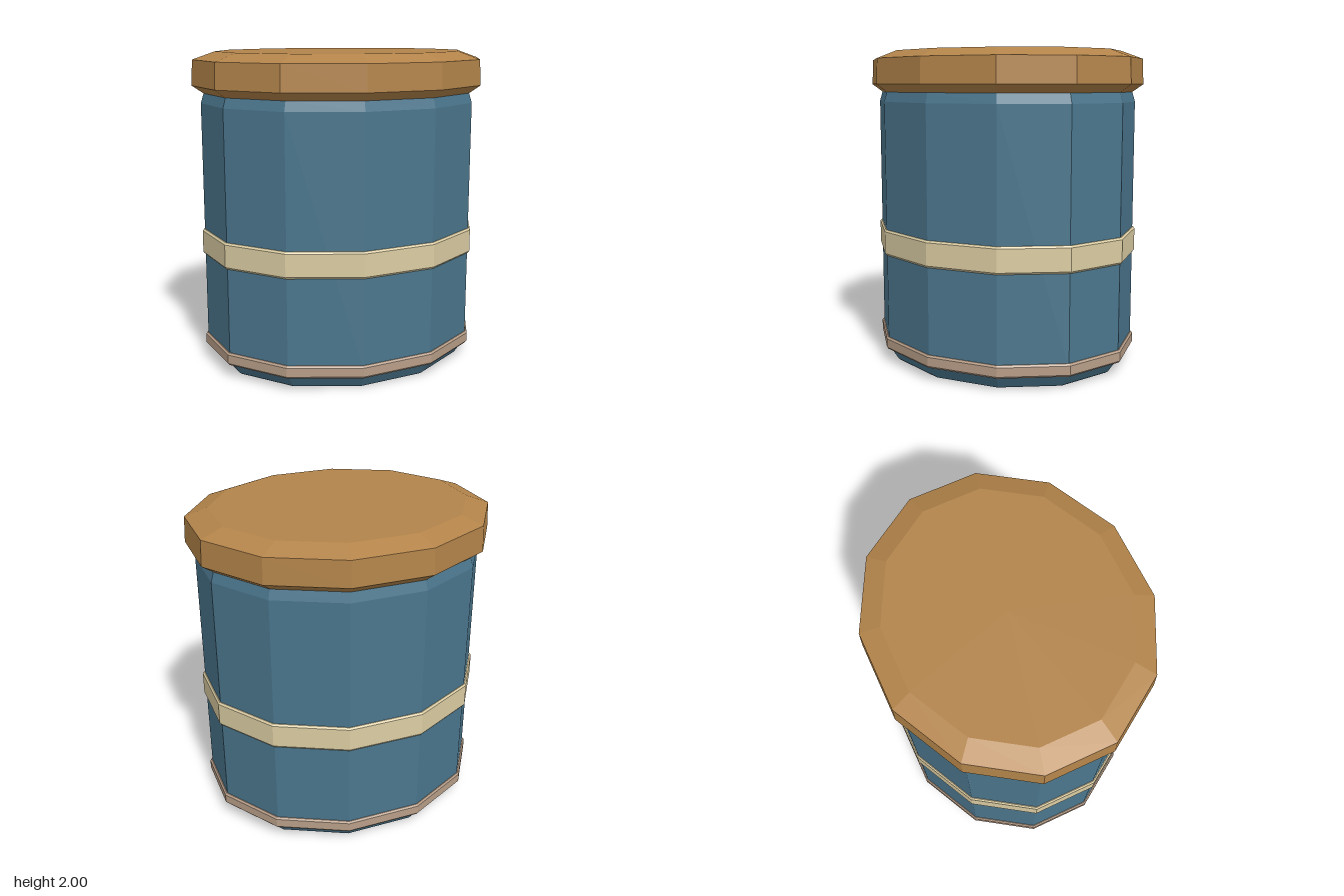
import * as THREE from 'three';

const SIDES = 12;
const SKEW = THREE.MathUtils.degToRad(6.5);
const DEPTH = 0.927;

const flat = (name, color) => {
  const m = new THREE.MeshStandardMaterial({ color, flatShading: true });
  m.name = name;
  return m;
};

// Twelve-sided turned shape, squashed into a slightly skewed oval.
// The profile is a list of [radius, height], from bottom to top.
function turned(name, profile, material) {
  const points = profile.map(([r, y]) => new THREE.Vector2(r, y));
  const geo = new THREE.LatheGeometry(points, SIDES, THREE.MathUtils.degToRad(10));
  const p = geo.attributes.position;
  for (let i = 0; i < p.count; i++) {
    const x = p.getX(i), z = p.getZ(i);
    p.setZ(i, DEPTH * (z * Math.cos(SKEW) - x * Math.sin(SKEW)));
  }
  geo.computeVertexNormals();
  const mesh = new THREE.Mesh(geo, material);
  mesh.name = name;
  return mesh;
}

// Closed hoop with a small bevel on its outer edges
function hoop(name, bottom, top, material) {
  const inner = 0.87, edge = 0.89, outer = 0.9, b = 0.012;
  return turned(name, [
    [inner, bottom], [edge, bottom], [outer, bottom + b],
    [outer, top - b], [edge, top], [inner, top],
  ], material);
}

export function createModel() {
  const model = new THREE.Group();
  model.name = 'canister';

  const blue = flat('blue glaze', 0x4b768d);
  const wood = flat('wood', 0xb3844a);
  const cream = flat('cream', 0xdccda3);
  const clay = flat('clay pink', 0xb89e88);

  // Body with chamfered foot and shoulder
  model.add(turned('body', [
    [0, 0], [0.8, 0], [0.816, 0.012], [0.87, 0.09], [0.885, 0.125],
    [0.885, 1.68], [0.865, 1.745], [0, 1.745],
  ], blue));

  // Hoops around the body
  model.add(hoop('lowerBand', 0.085, 0.165, clay));
  model.add(hoop('middleBand', 0.705, 0.87, cream));

  // Overhanging lid
  model.add(turned('lid', [
    [0, 1.74], [0.865, 1.74], [0.938, 1.79], [0.93, 1.95], [0.79, 2], [0, 2],
  ], wood));

  return model;
}
